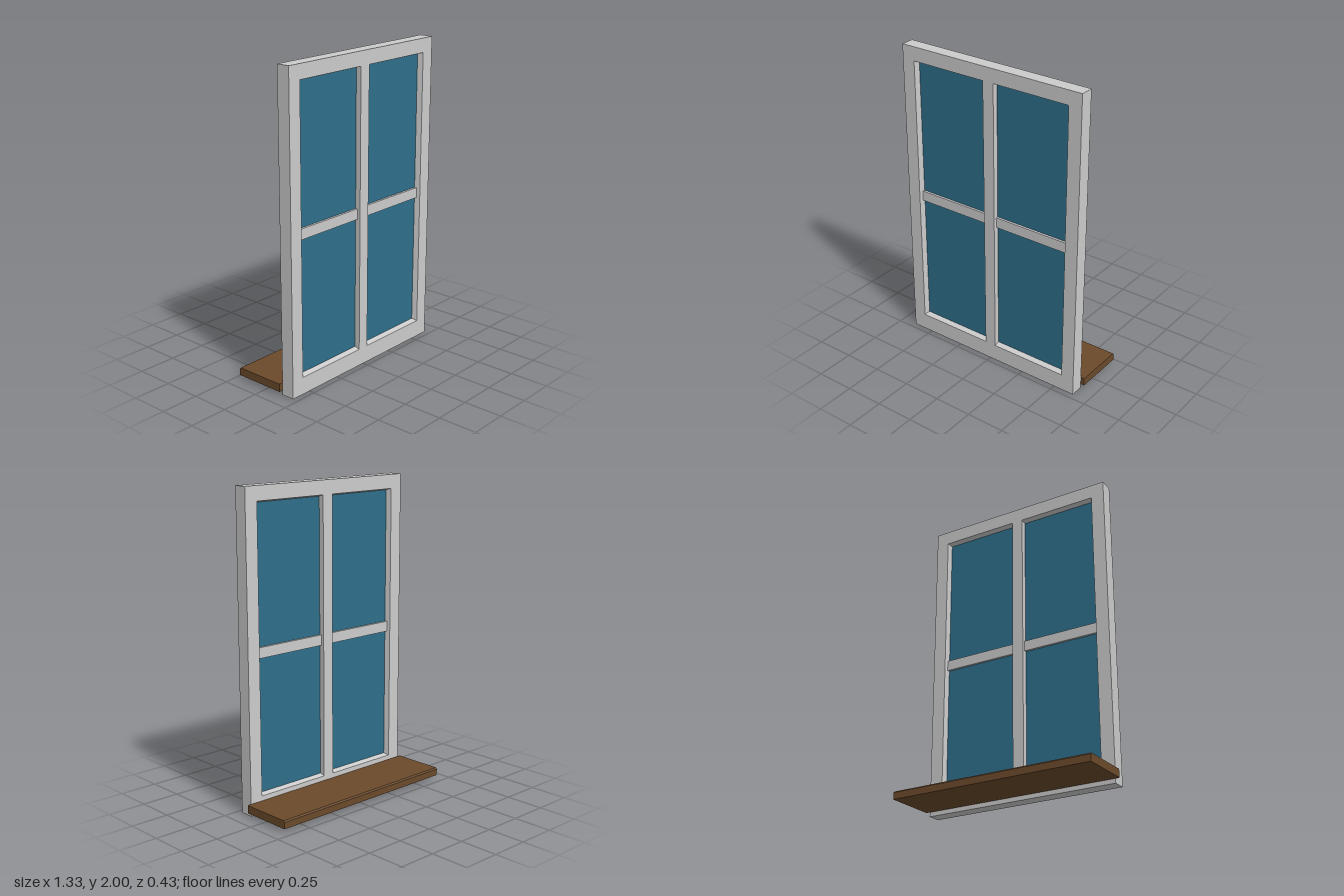
import * as THREE from 'three';

const FRONT = 0.213, BACK = 0.126, MID = (FRONT + BACK) / 2;

const grey = new THREE.MeshStandardMaterial({ color: 0xcccccc });
const glassBlue = new THREE.MeshStandardMaterial({ color: 0x2e6e8a });
const woodBrown = new THREE.MeshStandardMaterial({ color: 0x6b4a2b });

function addMesh(group, name, geometry, material, x = 0, y = 0, z = 0) {
  const mesh = new THREE.Mesh(geometry, material);
  mesh.name = name;
  mesh.position.set(x, y, z);
  group.add(mesh);
  return mesh;
}

// Joins a closed series of rectangles { w: half width, y0, y1, z } into a mitred frame.
function rectangleLoft(rings) {
  const corners = rings.map(({ w, y0, y1, z }) => [[-w, y0, z], [w, y0, z], [w, y1, z], [-w, y1, z]]);
  const positions = [];
  corners.forEach((ring, i) => {
    const next = corners[(i + 1) % corners.length];
    for (let k = 0; k < 4; k++) {
      const m = (k + 1) % 4;
      positions.push(...ring[k], ...ring[m], ...next[m], ...ring[k], ...next[m], ...next[k]);
    }
  });
  const geometry = new THREE.BufferGeometry();
  geometry.setAttribute('position', new THREE.Float32BufferAttribute(positions, 3));
  geometry.computeVertexNormals();
  return geometry;
}

export function createModel() {
  const model = new THREE.Group();
  model.name = 'window';

  // Outer frame: the opening narrows from both faces towards the glass
  const outer = { w: 0.642, y0: 0, y1: 2 };
  const opening = { w: 0.555, y0: 0.11, y1: 1.91 };
  const rebate = { w: 0.545, y0: 0.12, y1: 1.9 };
  addMesh(model, 'frame', rectangleLoft([
    { ...outer, z: FRONT },
    { ...opening, z: FRONT },
    { ...rebate, z: MID + 0.012 },
    { ...rebate, z: MID - 0.012 },
    { ...opening, z: BACK },
    { ...outer, z: BACK },
  ]), grey);

  // Centre post, flush with the frame
  addMesh(model, 'mullion', new THREE.BoxGeometry(0.076, 1.8, FRONT - BACK), grey, 0, 1.01, MID);

  // Cross bars and glass either side of the post
  for (const [side, label] of [[1, 'left'], [-1, 'right']]) {
    addMesh(model, label + 'CrossBar', new THREE.BoxGeometry(0.52, 0.067, 0.046), grey, side * 0.288, 1.003, MID);
    for (const [level, y0, y1] of [['Lower', 0.115, 0.98], ['Upper', 1.02, 1.905]]) {
      addMesh(model, label + level + 'Pane', new THREE.BoxGeometry(0.52, y1 - y0, 0.016), glassBlue,
        side * 0.288, (y0 + y1) / 2, MID);
    }
  }

  // Wooden sill behind the frame, its outer top edge chamfered
  const profile = new THREE.Shape([
    [-BACK, 0.028], [0.213, 0.028], [0.213, 0.07], [0.205, 0.079], [-BACK, 0.079],
  ].map(([x, y]) => new THREE.Vector2(x, y)));
  const sill = new THREE.ExtrudeGeometry(profile, { depth: 1.334, bevelEnabled: false });
  sill.translate(0, 0, -0.667).rotateY(Math.PI / 2);
  addMesh(model, 'sill', sill, woodBrown);

  return model;
}
